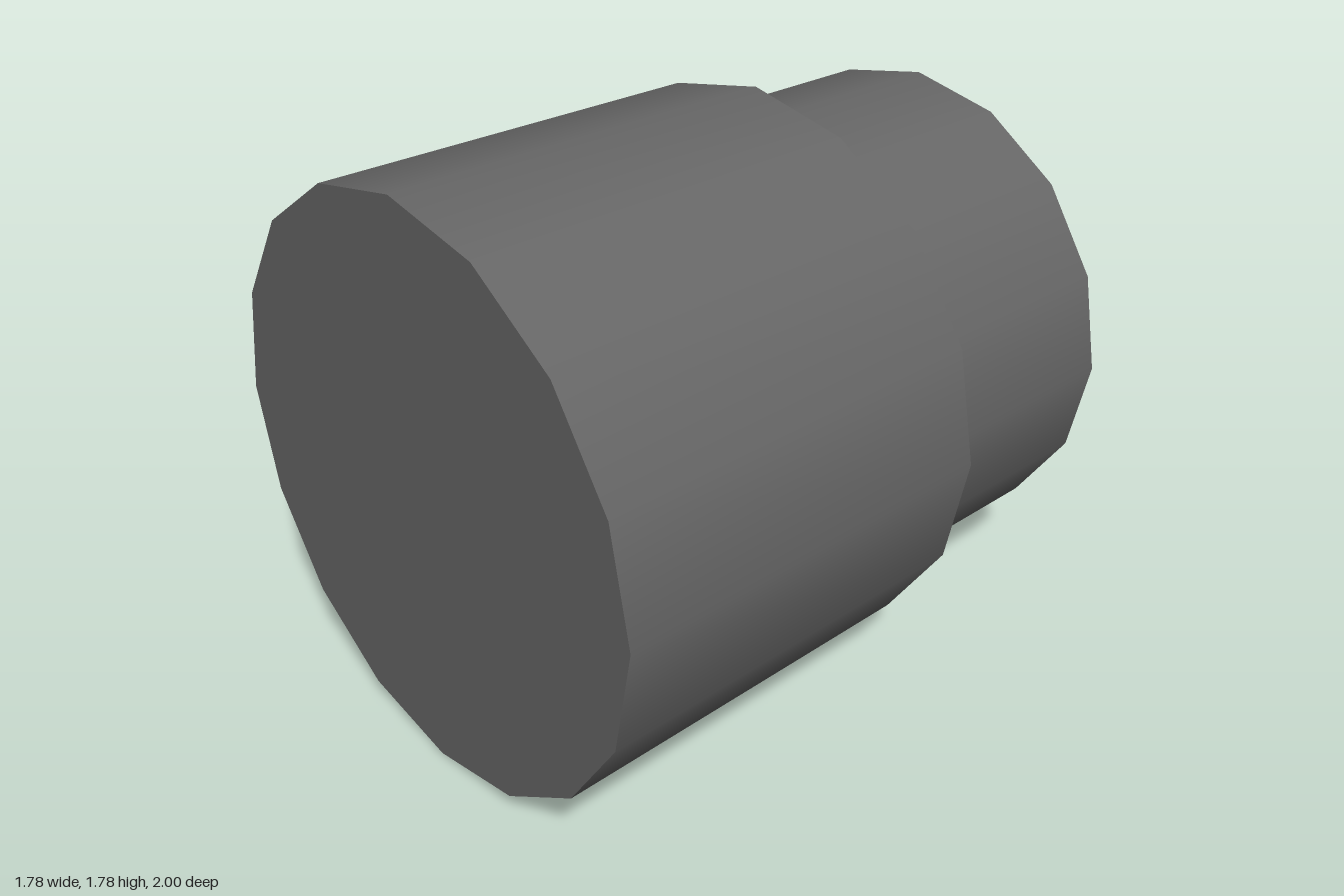
import * as THREE from 'three';

const SIDES = 16;
const BODY_RADIUS = 0.89, NECK_RADIUS = 0.78;
const FRONT = 1, STEP = -0.26, BACK = -1;

export function createModel() {
  const model = new THREE.Group();
  model.name = 'steppedCap';
  const grey = new THREE.MeshStandardMaterial({ color: 0x666666, side: THREE.DoubleSide });
  grey.name = 'dark grey';

  const add = (name, geometry, z) => {
    const mesh = new THREE.Mesh(geometry, grey);
    mesh.name = name;
    mesh.position.set(0, BODY_RADIUS, z);
    model.add(mesh);
  };

  // Open smooth-shaded tube running along z
  const addTube = (name, radius, z0, z1) => {
    const geometry = new THREE.CylinderGeometry(radius, radius, z1 - z0, SIDES, 1, true);
    add(name, geometry.rotateX(Math.PI / 2), (z0 + z1) / 2);
  };

  addTube('body', BODY_RADIUS, STEP, FRONT);
  addTube('neck', NECK_RADIUS, BACK, STEP);

  // Closed front face
  add('frontFace', new THREE.CircleGeometry(BODY_RADIUS, SIDES), FRONT);

  // Flat shoulder joining body and neck, facing back
  add('shoulder', new THREE.RingGeometry(NECK_RADIUS, BODY_RADIUS, SIDES).rotateY(Math.PI), STEP);

  return model;
}
